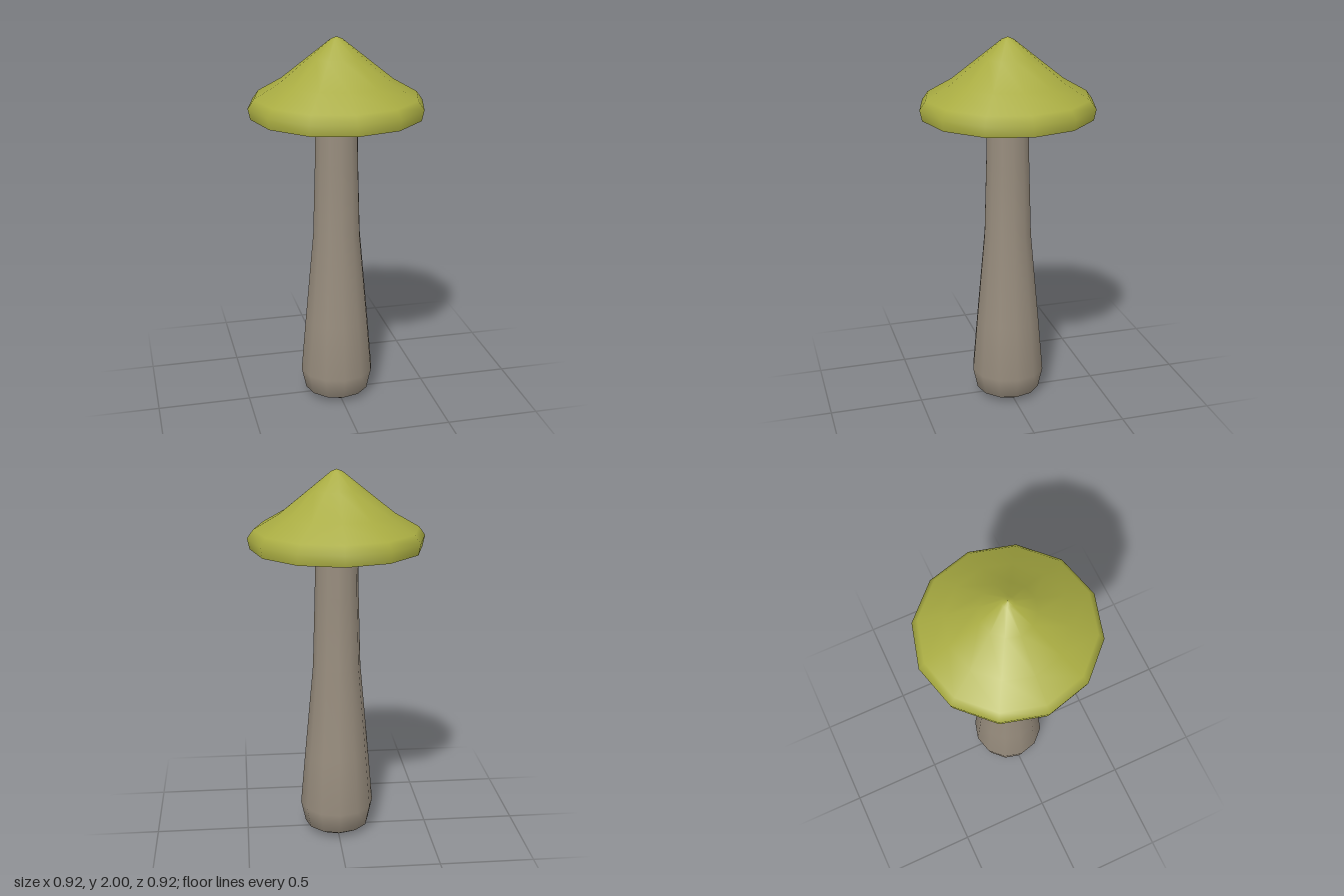
import * as THREE from 'three';

const SIDES = 12;

export function createModel() {
  const model = new THREE.Group();
  model.name = 'mushroom';

  const olive = new THREE.MeshStandardMaterial({ color: 0xa9ac42 });
  olive.name = 'olive cap';
  const taupe = new THREE.MeshStandardMaterial({ color: 0x978c7d });
  taupe.name = 'taupe flesh';

  // Turns a [radius, height] profile, listed so its surface faces outward
  const turn = (name, profile, material) => {
    const points = profile.map(([r, y]) => new THREE.Vector2(r, y));
    const mesh = new THREE.Mesh(new THREE.LatheGeometry(points, SIDES), material);
    mesh.name = name;
    model.add(mesh);
  };

  // Flat foot of the stem, kept separate for a sharp edge
  turn('stemFoot', [[0, 0], [0.115, 0]], taupe);

  // Tapering stem with a bulbous base
  turn('stem', [
    [0.115, 0], [0.175, 0.035], [0.2, 0.15], [0.174, 0.45],
    [0.128, 0.95], [0.116, 1.35], [0.11, 1.71],
  ], taupe);

  // Shallow hollow underside
  turn('capUnderside', [[0, 1.71], [0.11, 1.7], [0.45, 1.595]], taupe);

  // Pointed cap with a rolled rim
  turn('cap', [
    [0.45, 1.595], [0.462, 1.652], [0.43, 1.697], [0.3, 1.772],
    [0.14, 1.9], [0.03, 1.988], [0, 2],
  ], olive);

  return model;
}
